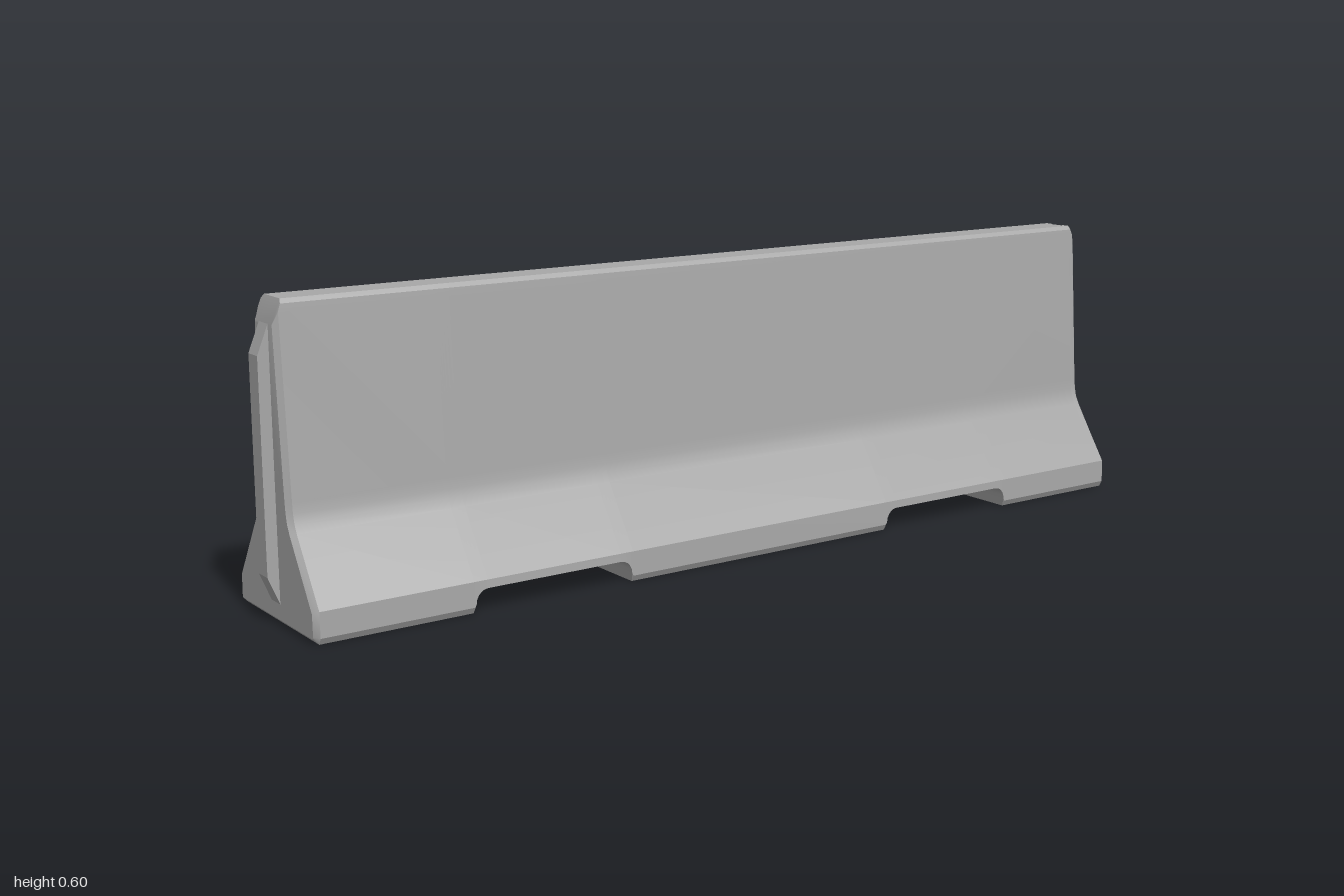
import * as THREE from 'three';
import { toCreasedNormals } from 'three/addons/utils/BufferGeometryUtils.js';

const TOP = 0.595, GROOVE = 0.019, GROOVE_Z = -0.978, FACE_Z = 0.978;

// Right half of the cross-section from bottom to top, with the underside raised to h
const outline = (h = 0) => [
  [Math.min(0.157 + h * 0.6, 0.164), h], [0.164, Math.max(0.0125, h)], [0.163, 0.061],
  [0.082, 0.182], [0.0735, 0.199], [0.069, 0.217], [0.067, 0.238],
  [0.043, 0.573], [0.0415, 0.587], [0.034, TOP],
];
// The same outline drawn inward for the chamfered ends
const inset = [
  [0.152, 0.01], [0.155, 0.0135], [0.154, 0.056],
  [0.074, 0.179], [0.0645, 0.197], [0.06, 0.216], [0.0575, 0.238],
  [0.0365, 0.546], [0.036, 0.55], [0.035, 0.55],
];

const mirrored = (pts) => pts.map(([x, y]) => [-x, y]).reverse();
const full = (half) => [...half, ...mirrored(half)];
const place = (pts, z) => pts.map(([x, y]) => [x, y, typeof z === 'function' ? z(y) : z]);

// Skin over closed rings that run counterclockwise and go from back to front
function loft(rings, capFront) {
  const n = rings[0].length, pos = [];
  const tri = (a, b, c) => pos.push(...a, ...b, ...c);
  for (let i = 0; i < rings.length - 1; i++) {
    for (let j = 0; j < n; j++) {
      const k = (j + 1) % n, [r, s] = [rings[i], rings[i + 1]];
      tri(r[j], r[k], s[k]);
      tri(r[j], s[k], s[j]);
    }
  }
  const cap = (ring, front) => {
    const flat = ring.map(([x, y]) => new THREE.Vector2(x, y));
    for (const [a, b, c] of THREE.ShapeUtils.triangulateShape(flat, [])) {
      if (front) tri(ring[a], ring[b], ring[c]);
      else tri(ring[a], ring[c], ring[b]);
    }
  };
  cap(rings[0], false);
  if (capFront) cap(rings[rings.length - 1], true);
  const geo = new THREE.BufferGeometry();
  geo.setAttribute('position', new THREE.Float32BufferAttribute(pos, 3));
  return toCreasedNormals(geo, 0.45);
}

export function createModel() {
  const model = new THREE.Group();
  model.name = 'concreteBarrier';
  const concrete = new THREE.MeshStandardMaterial({ color: 0xa8a8a8 });
  concrete.name = 'concrete grey';
  const add = (name, geo) => {
    const mesh = new THREE.Mesh(geo, concrete);
    mesh.name = name;
    model.add(mesh);
  };

  // Main body with two rounded drainage notches underneath
  const rings = [place(full(outline()), GROOVE_Z)];
  const edge = [[0.174, 0], [0.171, 0.018]];
  for (let i = 1; i <= 5; i++) {
    const a = (i / 5) * Math.PI / 2;
    edge.push([0.146 + 0.025 * Math.cos(a), 0.018 + 0.027 * Math.sin(a)]);
  }
  for (const centre of [-0.504, 0.488]) {
    for (const [d, h] of edge) rings.push(place(full(outline(h)), centre - d));
    for (const [d, h] of [...edge].reverse()) rings.push(place(full(outline(h)), centre + d));
  }
  // Chamfered front end, sloping back at the top
  rings.push(place(full(outline()), (y) => Math.min(0.968, 1 - (y - 0.495) * 0.4)));
  rings.push(place(full(inset), FACE_Z));
  add('body', loft(rings, true));

  // Chamfered back end in two halves, leaving the groove between them
  const withGroove = (half) => [
    [GROOVE, half[0][1]], ...half, [GROOVE, half[half.length - 1][1]],
  ];
  for (const [name, side] of [['leftBackEnd', (p) => p], ['rightBackEnd', mirrored]]) {
    add(name, loft([
      place(side(withGroove(inset)), -1),
      place(side(withGroove(outline())), (y) => (y > 0.58 ? -0.985 : -0.99)),
      place(side(withGroove(outline())), GROOVE_Z),
    ], false));
  }

  // Front tongue that fits the groove of the next barrier
  const profile = new THREE.Shape([
    [0.97, 0.04], [FACE_Z, 0.04], [1, 0.093], [1, 0.495], [FACE_Z, 0.55], [0.97, 0.55],
  ].map(([z, y]) => new THREE.Vector2(z, y)));
  const tongue = new THREE.ExtrudeGeometry(profile, { depth: 2 * GROOVE, bevelEnabled: false });
  tongue.rotateY(-Math.PI / 2).translate(GROOVE, 0, 0);
  add('tongue', tongue);

  return model;
}
